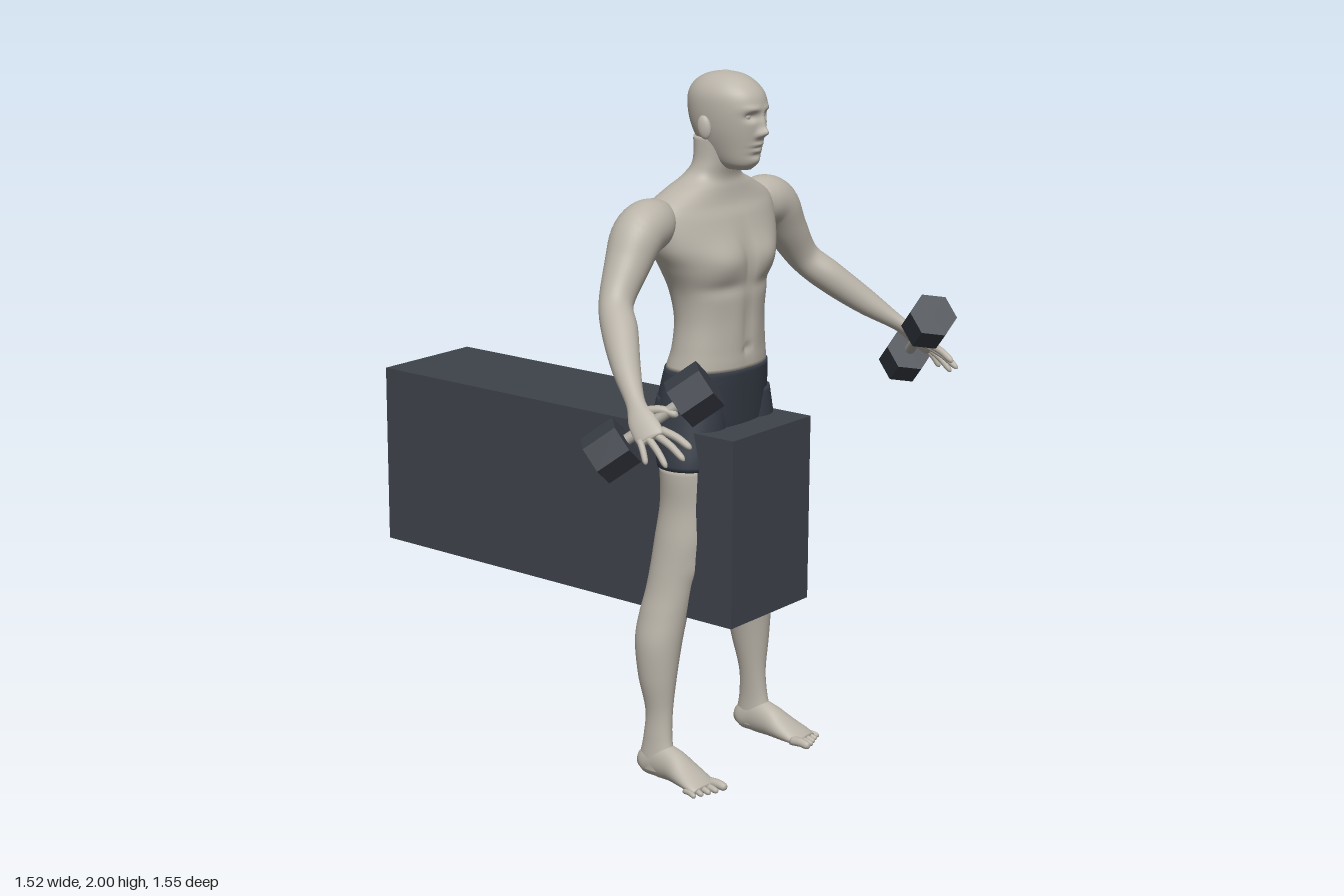
import * as THREE from 'three';

const mat = (name, color) => Object.assign(new THREE.MeshStandardMaterial({ color }), { name });
const V = (x, y, z) => new THREE.Vector3(x, y, z);
const spline = pts => new THREE.CatmullRomCurve3(pts, false, 'catmullrom', 0.5);

// Skin a list of equal-length rings and close both ends
function skinRings(rings) {
  const n = rings[0].length, pos = [], idx = [];
  rings.forEach(r => r.forEach(p => pos.push(p.x, p.y, p.z)));
  for (let i = 0; i < rings.length - 1; i++) {
    for (let j = 0; j < n; j++) {
      const k = (j + 1) % n, a = i * n + j, b = i * n + k;
      idx.push(a, a + n, b, b, a + n, b + n);
    }
  }
  [0, rings.length - 1].forEach((r, end) => {
    const c = V(0, 0, 0);
    rings[r].forEach(p => c.addScaledVector(p, 1 / n));
    const ci = pos.length / 3;
    pos.push(c.x, c.y, c.z);
    for (let j = 0; j < n; j++) {
      const a = r * n + j, b = r * n + (j + 1) % n;
      end ? idx.push(ci, b, a) : idx.push(ci, a, b);
    }
  });
  const g = new THREE.BufferGeometry();
  g.setAttribute('position', new THREE.Float32BufferAttribute(pos, 3));
  g.setIndex(idx);
  g.computeVertexNormals();
  return g;
}

// Upright body loft. rows: [y, centre x, half width, z front, z back]
// bumps: [x, y, spread x, spread y, depth, side (1 front, -1 back)]
function bodyLoft(rows, from, to, { bumps = [], grow = 0, power = 2.2, seg = 64, steps = 8 } = {}) {
  const mid = spline(rows.map(r => V(r[1], r[0], 0)));
  const size = spline(rows.map(r => V(r[2], r[3], r[4])));
  const rings = [];
  for (let s = from * steps; s <= to * steps; s++) {
    const t = s / steps / (rows.length - 1), c = mid.getPoint(t), d = size.getPoint(t);
    const ring = [];
    for (let j = 0; j < seg; j++) {
      const a = j / seg * Math.PI * 2, co = Math.cos(a), si = Math.sin(a);
      const bend = v => Math.sign(v) * Math.abs(v) ** (2 / power);
      const p = V(c.x + (d.x + grow) * bend(co), c.y, (d.y + d.z) / 2 + ((d.y - d.z) / 2 + grow) * bend(si));
      for (const [bx, by, sx, sy, h, side] of bumps) {
        const u = (Math.abs(p.x) - bx) / sx, v = (p.y - by) / sy;
        p.z += side * h * Math.exp(-u * u - v * v) * Math.min(1, Math.max(0, side * si * 2));
      }
      ring.push(p);
    }
    rings.push(ring);
  }
  return skinRings(rings);
}

// Limb along a path. pts: [x, y, z, half width, half thickness], width lies along the hint
function limb(pts, hint, seg = 24, steps = 6) {
  const path = spline(pts.map(p => V(p[0], p[1], p[2])));
  const size = spline(pts.map(p => V(p[3], p[4], 0)));
  const rings = [], n = (pts.length - 1) * steps;
  for (let i = 0; i <= n; i++) {
    const c = path.getPoint(i / n), s = size.getPoint(i / n), T = path.getTangent(i / n);
    const U = hint.clone().addScaledVector(T, -hint.dot(T)).normalize();
    const W = U.clone().cross(T);
    rings.push(Array.from({ length: seg }, (_, j) => {
      const a = j / seg * Math.PI * 2;
      return c.clone().addScaledVector(U, s.x * Math.cos(a)).addScaledVector(W, s.y * Math.sin(a));
    }));
  }
  return skinRings(rings);
}

// Finger or toe with a rounded tip
function digit(a, b, r, lift = 0) {
  const at = (t, k) => [a[0] + (b[0] - a[0]) * t, a[1] + (b[1] - a[1]) * t + lift * Math.sin(t * Math.PI), a[2] + (b[2] - a[2]) * t, r * k, r * k];
  return limb([at(0, 1), at(0.5, 0.95), at(0.85, 0.85), at(0.96, 0.55), at(1, 0.1)], V(1, 0.1, 0), 12, 4);
}

function mirrored(g) {
  const m = g.clone(), p = m.attributes.position, nor = m.attributes.normal, ix = m.index.array;
  for (let i = 0; i < p.count; i++) { p.setX(i, -p.getX(i)); nor.setX(i, -nor.getX(i)); }
  for (let i = 0; i < ix.length; i += 3) [ix[i + 1], ix[i + 2]] = [ix[i + 2], ix[i + 1]];
  return m;
}

export function createModel() {
  const model = new THREE.Group();
  model.name = 'liftingFigure';
  const skin = mat('skin', 0xb9b3a8), cloth = mat('shortsCloth', 0x353b45);
  const pad = mat('benchPad', 0x3e434b), iron = mat('weightIron', 0x383d45), steel = mat('gripSteel', 0xaaa79f);
  const add = (name, g, m) => {
    const mesh = new THREE.Mesh(g, m);
    mesh.name = name;
    model.add(mesh);
  };
  const pair = (name, g, m) => {
    add('left' + name, g, m);
    add('right' + name, mirrored(g), m);
  };

  // Bench
  add('bench', new THREE.BoxGeometry(0.36, 0.54, 1.325).translate(0, 0.75, -0.1175), pad);

  // Torso, neck and pelvis share one profile, split at the waist
  const torso = [
    [0.93, 0, 0.185, 0.43, 0.25], [1.0, 0, 0.195, 0.44, 0.23], [1.08, 0, 0.187, 0.448, 0.222], [1.18, 0, 0.17, 0.457, 0.235],
    [1.24, 0, 0.16, 0.455, 0.252], [1.32, 0, 0.153, 0.455, 0.256], [1.4, 0, 0.165, 0.46, 0.24], [1.47, 0, 0.2, 0.46, 0.225],
    [1.53, 0, 0.235, 0.45, 0.212], [1.6, 0, 0.25, 0.425, 0.208], [1.64, 0, 0.24, 0.405, 0.218], [1.68, 0, 0.165, 0.395, 0.238],
    [1.71, 0, 0.1, 0.39, 0.258], [1.75, 0, 0.076, 0.4, 0.283], [1.82, 0, 0.07, 0.42, 0.28]];
  const muscles = [
    [0.09, 1.49, 0.07, 0.05, 0.018, 1], [0, 1.49, 0.014, 0.08, -0.008, 1], [0.09, 1.415, 0.07, 0.02, -0.007, 1],
    [0, 1.3, 0.012, 0.09, -0.005, 1], [0.045, 1.3, 0.03, 0.1, 0.004, 1], [0, 1.235, 0.01, 0.012, -0.008, 1],
    [0, 1.4, 0.022, 0.17, -0.014, -1], [0.11, 1.55, 0.05, 0.07, 0.01, -1],
    [0.08, 1.06, 0.06, 0.06, 0.012, -1], [0, 1.06, 0.014, 0.07, -0.02, -1]];
  add('shortsSeat', bodyLoft(torso, 0, 3, { bumps: muscles, grow: 0.004 }), cloth);
  add('torso', bodyLoft(torso, 3, 14, { bumps: muscles }), skin);

  // Head with face relief
  const head = [
    [1.735, 0, 0.028, 0.455, 0.38], [1.755, 0, 0.048, 0.474, 0.34], [1.8, 0, 0.066, 0.484, 0.295], [1.85, 0, 0.08, 0.492, 0.268],
    [1.9, 0, 0.086, 0.496, 0.257], [1.94, 0, 0.083, 0.487, 0.26], [1.97, 0, 0.067, 0.46, 0.28], [1.99, 0, 0.041, 0.425, 0.315],
    [2.0, 0, 0.004, 0.375, 0.365]];
  const face = [
    [0, 1.84, 0.013, 0.013, 0.022, 1], [0, 1.863, 0.01, 0.022, 0.012, 1], [0.013, 1.834, 0.008, 0.008, 0.008, 1],
    [0.032, 1.884, 0.018, 0.012, -0.014, 1], [0.03, 1.905, 0.025, 0.009, 0.005, 1],
    [0, 1.806, 0.022, 0.006, 0.007, 1], [0, 1.798, 0.024, 0.003, -0.005, 1], [0, 1.79, 0.018, 0.006, 0.006, 1],
    [0, 1.777, 0.025, 0.006, -0.004, 1], [0, 1.76, 0.02, 0.012, 0.005, 1]];
  add('head', bodyLoft(head, 0, 8, { bumps: face, power: 2.1, seg: 128, steps: 10 }), skin);
  pair('Eye', new THREE.SphereGeometry(0.013, 16, 12).translate(0.032, 1.884, 0.465), skin);
  pair('Ear', new THREE.SphereGeometry(1, 16, 12).scale(0.011, 0.033, 0.02).rotateX(-0.15).rotateY(-0.25).translate(0.088, 1.852, 0.365), skin);

  // Legs, split at the hem
  const leg = [
    [1.1, 0.105, 0.075, 0.435, 0.24], [1.0, 0.11, 0.092, 0.443, 0.23], [0.91, 0.122, 0.094, 0.441, 0.267], [0.8, 0.13, 0.079, 0.438, 0.27],
    [0.7, 0.15, 0.071, 0.43, 0.265], [0.62, 0.168, 0.063, 0.41, 0.262], [0.55, 0.182, 0.06, 0.398, 0.256], [0.48, 0.195, 0.064, 0.388, 0.247],
    [0.4, 0.21, 0.064, 0.38, 0.245], [0.3, 0.218, 0.051, 0.372, 0.257], [0.2, 0.22, 0.034, 0.365, 0.28], [0.12, 0.226, 0.031, 0.37, 0.277],
    [0.06, 0.229, 0.034, 0.385, 0.266], [0.025, 0.229, 0.033, 0.385, 0.264]].reverse();
  const knee = [[0.168, 0.62, 0.035, 0.035, 0.008, 1], [0.2, 0.42, 0.05, 0.07, 0.006, -1]];
  pair('Leg', bodyLoft(leg, 0, 11, { bumps: knee, power: 2, seg: 40 }), skin);
  pair('ShortsLeg', bodyLoft(leg, 11, 13, { power: 2, seg: 40, grow: 0.005 }), cloth);

  // Feet and toes
  pair('Foot', limb([
    [0.228, 0.03, 0.262, 0.015, 0.018], [0.228, 0.04, 0.285, 0.032, 0.039], [0.228, 0.054, 0.33, 0.036, 0.053], [0.228, 0.05, 0.38, 0.04, 0.049],
    [0.232, 0.036, 0.43, 0.049, 0.035], [0.238, 0.022, 0.48, 0.052, 0.021], [0.24, 0.014, 0.507, 0.046, 0.012]], V(1, 0, 0), 32), skin);
  for (let i = 0; i < 5; i++) {
    const r = i ? 0.0105 - i * 0.0005 : 0.014, x = i ? 0.205 + i * 0.02 : 0.2;
    pair('Toe' + (i + 1), digit([x, r + 0.004, 0.485 - i * 0.004], [x + 0.003 * i, r, 0.55 - i * 0.009], r, 0.004), skin);
  }

  // Arms run from the shoulder to the palm, which is turned along the grip
  const gripA = V(0.545, 1.25, 0.695), gripB = V(0.68, 1.1, 0.53);
  const axis = gripB.clone().sub(gripA).normalize();
  pair('Arm', limb([
    [0.17, 1.6, 0.31, 0.04, 0.04], [0.24, 1.603, 0.31, 0.07, 0.07], [0.305, 1.58, 0.312, 0.074, 0.072], [0.36, 1.505, 0.318, 0.062, 0.06],
    [0.425, 1.415, 0.335, 0.047, 0.047], [0.475, 1.355, 0.39, 0.049, 0.046], [0.545, 1.28, 0.47, 0.038, 0.038], [0.605, 1.215, 0.55, 0.026, 0.021],
    [0.63, 1.18, 0.59, 0.037, 0.017], [0.645, 1.148, 0.63, 0.039, 0.014], [0.65, 1.14, 0.64, 0.03, 0.008]], axis, 36), skin);
  const fingers = [
    [[0.622, 1.163, 0.65], [0.61, 1.125, 0.738]], [[0.635, 1.153, 0.64], [0.638, 1.1, 0.738]],
    [[0.65, 1.145, 0.627], [0.663, 1.08, 0.7]], [[0.663, 1.137, 0.612], [0.682, 1.083, 0.648]]];
  fingers.forEach(([a, b], i) => pair('Finger' + (i + 1), digit(a, b, 0.011 - i * 0.0006, 0.006), skin));
  pair('Thumb', digit([0.612, 1.2, 0.585], [0.582, 1.195, 0.672], 0.0125, 0.01), skin);

  // Hexagonal dumbbells
  const turn = new THREE.Quaternion().setFromUnitVectors(V(0, 1, 0), axis);
  const bar = (r, len, sides, c) => new THREE.CylinderGeometry(r, r, len, sides).applyQuaternion(turn).translate(c.x, c.y, c.z);
  const hex = c => {
    // hard-edged faces
    const g = bar(0.069, 0.1, 6, c).toNonIndexed();
    g.computeVertexNormals();
    g.setIndex(Array.from({ length: g.attributes.position.count }, (_, i) => i));
    return g;
  };
  pair('DumbbellFrontHead', hex(gripA), iron);
  pair('DumbbellBackHead', hex(gripB), iron);
  pair('DumbbellGrip', bar(0.015, 0.2, 16, gripA.clone().lerp(gripB, 0.5)), steel);
  return model;
}
